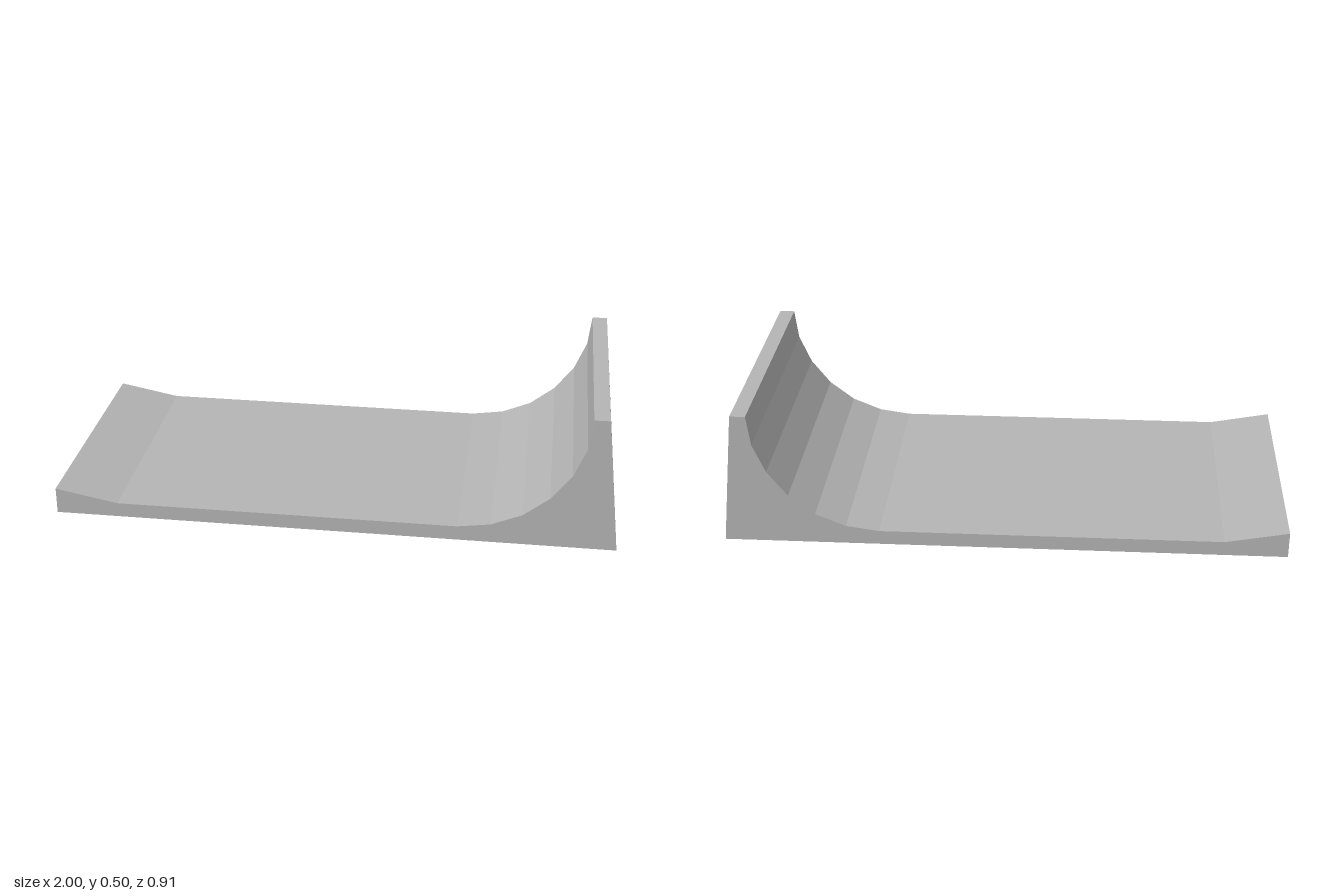
import * as THREE from 'three';

const DEPTH = 0.91;

export function createModel() {
  const group = new THREE.Group();
  group.name = 'ramp';
  const grey = new THREE.MeshStandardMaterial({ color: 0xb4b4b4 });
  grey.name = 'plain grey';

  // Side profile: flat base, sloped back wall, faceted curve, raised entry lip
  const profile = [
    [-1, 0], [1, 0], [0.945, 0.495], [0.89, 0.495],
    [0.877, 0.385], [0.833, 0.28], [0.762, 0.187], [0.67, 0.115],
    [0.562, 0.07], [0.445, 0.053], [-0.775, 0.053], [-1, 0.096],
  ].map(([x, y]) => new THREE.Vector2(x, y));

  // Extruded across the width, centred on z
  const geometry = new THREE.ExtrudeGeometry(new THREE.Shape(profile), {
    depth: DEPTH, bevelEnabled: false,
  });
  geometry.translate(0, 0, -DEPTH / 2);

  const body = new THREE.Mesh(geometry, grey);
  body.name = 'curvedRampBody';
  group.add(body);
  return group;
}
